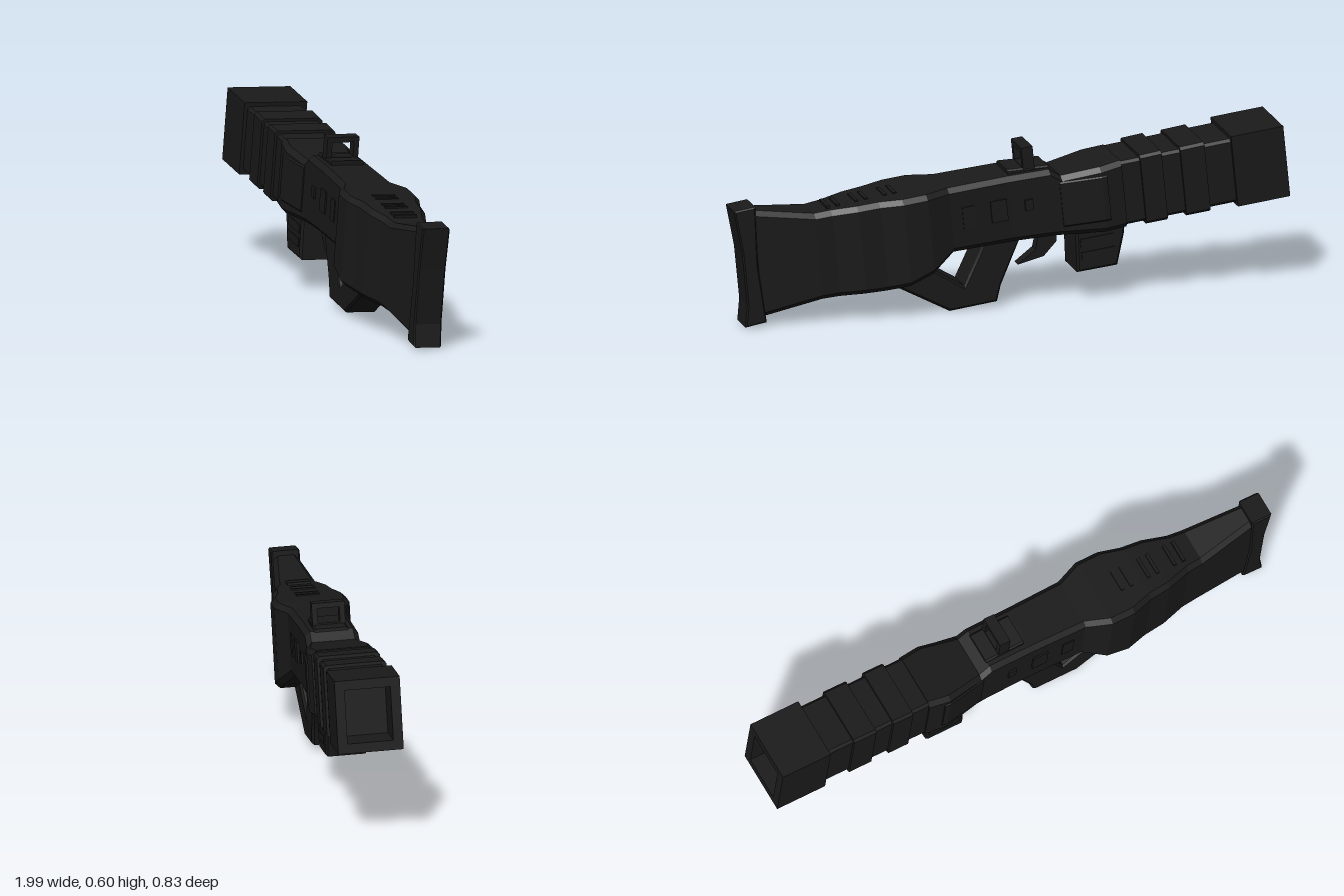
import * as THREE from 'three';

const mat = new THREE.MeshStandardMaterial({ color: 0x1a1a1a, flatShading: true, roughness: 0.9 });

function add(parent, name, geometry) {
  const mesh = new THREE.Mesh(geometry, mat);
  mesh.name = name;
  parent.add(mesh);
  return mesh;
}

// Chamfered box-like loft along x; stations are [x, bottom, top, halfWidth]
function loft(stations, c = 0.015) {
  const pos = [], idx = [], n = 8;
  for (const [x, b, t, w] of stations) {
    const ring = [[t, w - c], [t - c, w], [b + c, w], [b, w - c],
      [b, c - w], [b + c, -w], [t - c, -w], [t, c - w]];
    for (const [y, z] of ring) pos.push(x, y, z);
  }
  const last = (stations.length - 1) * n;
  for (let i = 0; i < last; i += n) {
    for (let j = 0; j < n; j++) {
      const k = (j + 1) % n;
      idx.push(i + j, i + k, i + n + k, i + j, i + n + k, i + n + j);
    }
  }
  for (let j = 1; j < n - 1; j++) {
    idx.push(0, j + 1, j, last, last + j, last + j + 1);
  }
  const g = new THREE.BufferGeometry();
  g.setAttribute('position', new THREE.Float32BufferAttribute(pos, 3));
  g.setIndex(idx);
  g.computeVertexNormals();
  return g;
}

const toPoints = (list) => list.map(([x, y]) => new THREE.Vector2(x, y));

// Side profile in x/y, extruded evenly to both sides
function profile(outline, halfWidth, hole, bevel = 0.008) {
  const shape = new THREE.Shape(toPoints(outline));
  if (hole) shape.holes.push(new THREE.Path(toPoints(hole)));
  const g = new THREE.ExtrudeGeometry(shape, {
    depth: 2 * (halfWidth - bevel), bevelEnabled: bevel > 0,
    bevelThickness: bevel, bevelSize: bevel, bevelOffset: -bevel, bevelSegments: 1,
  });
  return g.translate(0, 0, bevel - halfWidth);
}

// Rectangular frame around the long axis, open along x
function frame(x, length, bottom, top, w, wall) {
  const rect = (b, t, h) => toPoints([[-h, b], [h, b], [h, t], [-h, t]]);
  const shape = new THREE.Shape(rect(bottom, top, w));
  shape.holes.push(new THREE.Path(rect(bottom + wall, top - wall, w - wall)));
  const g = new THREE.ExtrudeGeometry(shape, { depth: length, bevelEnabled: false });
  return g.rotateY(Math.PI / 2).translate(x, 0, 0);
}

function box(x0, x1, y0, y1, z0, z1) {
  return new THREE.BoxGeometry(x1 - x0, y1 - y0, z1 - z0)
    .translate((x0 + x1) / 2, (y0 + y1) / 2, (z0 + z1) / 2);
}

export function createModel() {
  const root = new THREE.Group();
  root.name = 'rifle';
  // The whole body is yawed, then pitched
  const gun = new THREE.Group();
  gun.name = 'rifleBody';
  gun.rotation.set(0, -0.34, -0.118, 'ZYX');
  root.add(gun);
  const body = new THREE.Group();
  body.name = 'parts';
  body.position.z = 0.038;
  gun.add(body);

  // Barrel: hollow muzzle, core and raised bands
  add(body, 'muzzle', frame(-1.025, 0.195, 0.224, 0.488, 0.117, 0.035));
  add(body, 'barrelCore', loft([[-0.89, 0.236, 0.474, 0.104], [-0.38, 0.234, 0.472, 0.104]], 0.01));
  for (const [x0, x1] of [[-0.73, -0.64], [-0.57, -0.49]]) {
    add(body, 'barrelBand', loft([[x0, 0.225, 0.485, 0.113], [x1, 0.225, 0.483, 0.113]], 0.01));
  }

  // Receiver and swelling stock
  add(body, 'receiverAndStock', loft([
    [-0.42, 0.225, 0.476, 0.11], [-0.34, 0.225, 0.47, 0.12],
    [-0.2, 0.235, 0.458, 0.096], [-0.16, 0.24, 0.49, 0.095],
    [0, 0.25, 0.495, 0.095], [0.22, 0.257, 0.498, 0.1],
    [0.31, 0.205, 0.502, 0.135], [0.4, 0.175, 0.502, 0.135],
    [0.48, 0.168, 0.502, 0.113], [0.56, 0.17, 0.5, 0.105],
    [0.65, 0.171, 0.496, 0.08], [0.71, 0.171, 0.494, 0.074],
    [0.93, 0.14, 0.542, 0.046],
  ], 0.018));
  add(body, 'buttPad', profile([[0.92, 0.122], [1.0, 0.118], [0.985, 0.2],
    [0.985, 0.4], [1.0, 0.556], [0.92, 0.558], [0.932, 0.34]], 0.051, null, 0.005));

  // Grip joined to the stock by a strut
  add(body, 'grip', profile(
    [[-0.06, 0.29], [0.05, 0.088], [0.07, 0.03], [0.247, 0.029], [0.45, 0.169], [0.45, 0.29]],
    0.06, [[0.095, 0.262], [0.235, 0.257], [0.308, 0.207], [0.185, 0.112]]));

  // Trigger hook and magazine
  add(body, 'trigger', profile([[-0.186, 0.26], [-0.18, 0.196], [-0.128, 0.15],
    [-0.03, 0.137], [-0.1, 0.18], [-0.125, 0.26]], 0.02, null, 0));
  add(body, 'magazine', profile([[-0.425, 0.24], [-0.415, 0.19], [-0.38, 0.081],
    [-0.23, 0.083], [-0.24, 0.26]], 0.075));
  for (const y of [0.125, 0.175]) {
    add(body, 'magazineRib', box(-0.375, -0.25, y, y + 0.03, -0.079, 0.079));
  }

  // Sight on its base
  add(body, 'sightBase', loft([[-0.165, 0.44, 0.497, 0.06], [-0.013, 0.44, 0.511, 0.06]], 0.006));
  add(body, 'sightFrame', frame(-0.115, 0.042, 0.488, 0.58, 0.059, 0.019));

  // Vents along the stock top
  for (const x of [0.42, 0.527, 0.633]) {
    const vent = new THREE.Group();
    vent.name = 'stockVent';
    body.add(vent);
    for (const dx of [-0.018, 0.018]) {
      add(vent, 'ventRail', box(x + dx - 0.006, x + dx + 0.006, 0.48, 0.506, -0.042, 0.042));
    }
  }

  // Raised side panels
  add(body, 'frontPanel', loft([[-0.36, 0.27, 0.44, 0.123], [-0.34, 0.27, 0.44, 0.125],
    [-0.19, 0.27, 0.44, 0.1]], 0.006));
  for (const [x, w, h] of [[-0.07, 0.03, 0.04], [0.042, 0.06, 0.08], [0.155, 0.045, 0.08]]) {
    add(body, 'sidePanel', box(x - w / 2, x + w / 2, 0.38 - h / 2, 0.38 + h / 2, -0.102, 0.102));
  }
  return root;
}
